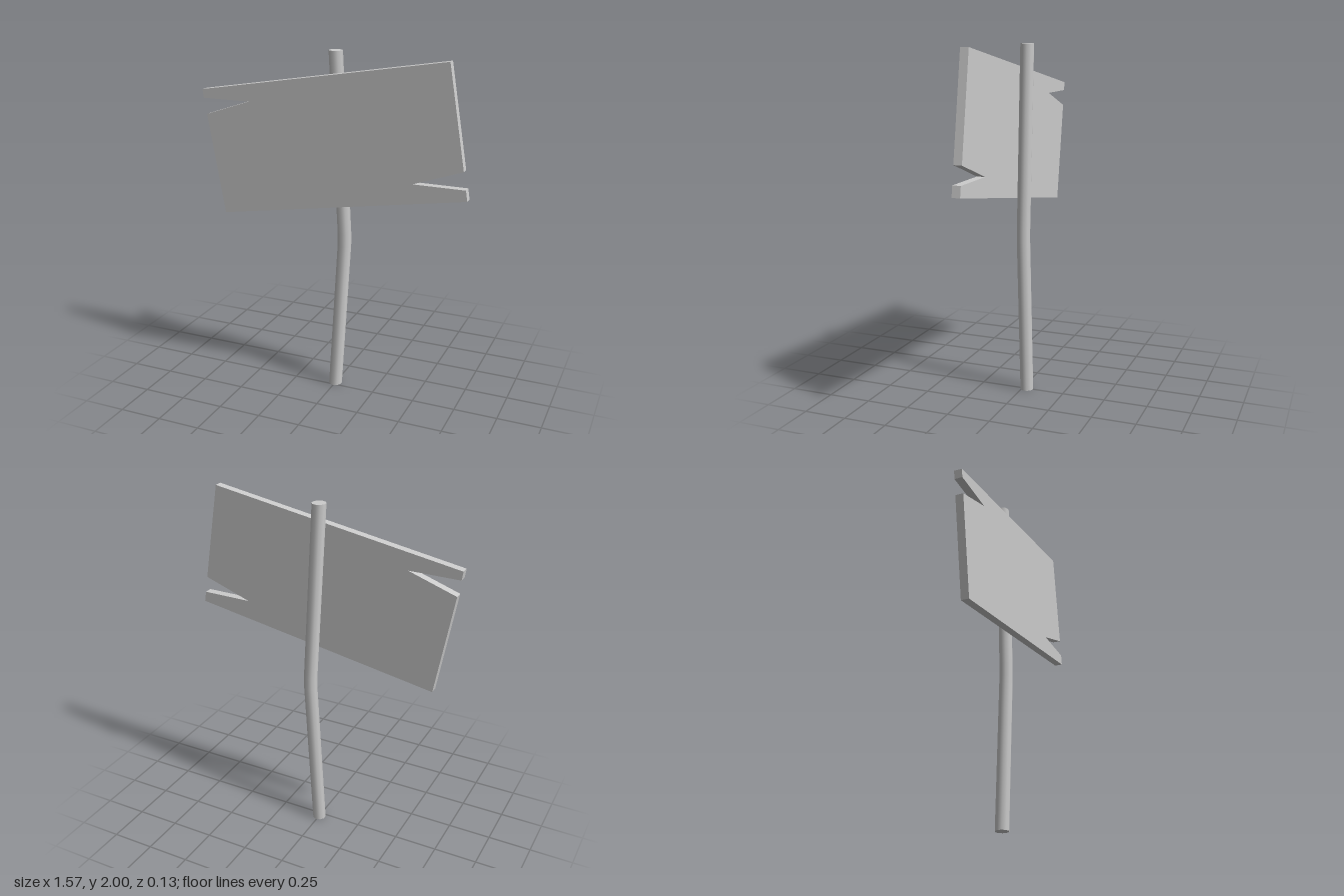
import * as THREE from 'three';

export function createModel() {
  const group = new THREE.Group();
  const material = new THREE.MeshStandardMaterial({ color: 0xcccccc });

  // Post: ten-sided pole, bent slightly sideways below the board
  const rings = [[0, 2], [0.055, 0.97], [0.055, 0.9], [0, 0]]; // centre x, y from the top down
  const postGeometry = new THREE.CylinderGeometry(0.039, 0.039, 3, 10, 3);
  const pos = postGeometry.attributes.position;
  for (let i = 0; i < pos.count; i++) {
    const [cx, y] = rings[Math.round(1.5 - pos.getY(i))];
    pos.setX(i, pos.getX(i) + cx);
    pos.setY(i, y);
  }
  const post = new THREE.Mesh(postGeometry, material);
  post.name = 'post';
  post.position.z = -0.027;
  group.add(post);

  // Board: tilted plank with a splintered notch at each end
  const outline = [
    [-0.661, 1.03], [0.783, 1.273], [0.773, 1.333], [0.481, 1.333], [0.757, 1.43],
    [0.661, 1.99], [-0.782, 1.749], [-0.775, 1.7], [-0.487, 1.7], [-0.759, 1.608],
  ];
  const shape = new THREE.Shape(outline.map(([x, y]) => new THREE.Vector2(x, y)));
  const board = new THREE.Mesh(
    new THREE.ExtrudeGeometry(shape, { depth: 0.046, bevelEnabled: false }),
    material,
  );
  board.name = 'signBoard';
  board.position.z = 0.02;
  group.add(board);

  return group;
}
